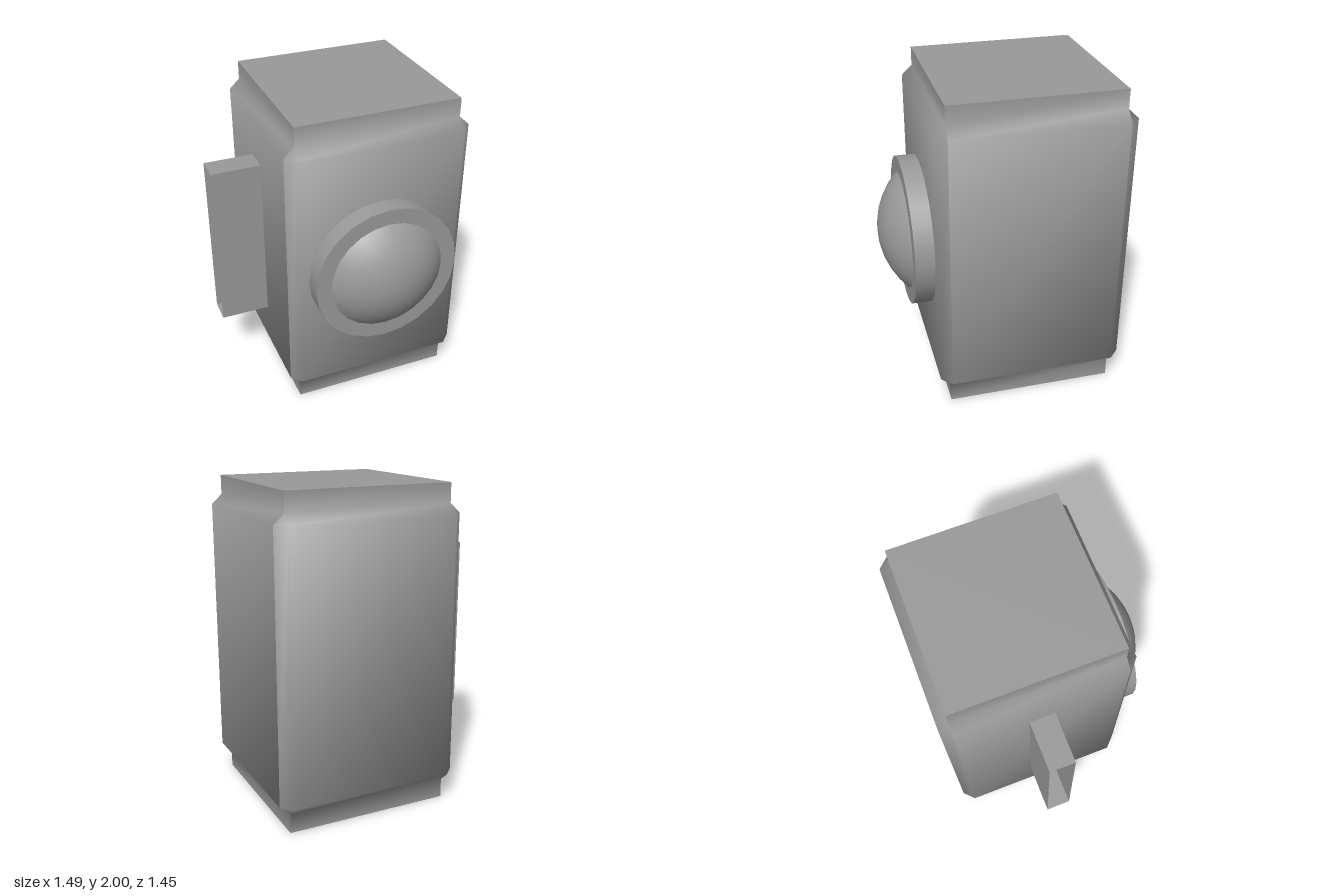
import * as THREE from 'three';
import { toCreasedNormals } from 'three/addons/utils/BufferGeometryUtils.js';

const CX = 0.157, CZ = -0.138;   // axis of the body
const IN = 0.5225, OUT = 0.5875; // half widths of the end collars and the swollen middle
const ROWS = [[0, IN], [0.12, IN], [0.18, OUT], [1.82, OUT], [1.88, IN], [2, IN]];

const grey = new THREE.MeshStandardMaterial({ color: 0x9a9a9a });
const greyDouble = new THREE.MeshStandardMaterial({ color: 0x9a9a9a, side: THREE.DoubleSide });

function part(name, geometry, material = grey) {
  const mesh = new THREE.Mesh(geometry, material);
  mesh.name = name;
  return mesh;
}

// Smooth wall facing +z; columns(w) gives the [x, z] points of one row
function wall(columns, turn) {
  const pos = [], index = [];
  const n = columns(OUT).length;
  for (const [y, w] of ROWS) for (const [x, z] of columns(w)) pos.push(x, y, z);
  for (let r = 0; r < ROWS.length - 1; r++) {
    for (let c = 0; c < n - 1; c++) {
      const a = r * n + c, b = a + 1, d = a + n, e = d + 1;
      index.push(a, b, e, a, e, d);
    }
  }
  const g = new THREE.BufferGeometry();
  g.setAttribute('position', new THREE.Float32BufferAttribute(pos, 3));
  g.setIndex(index);
  // Equal weight per face lets the bevels shade far into the panels
  return toCreasedNormals(g, Math.PI / 2).rotateY(turn).translate(CX, 0, CZ);
}

// Front and back walls carry the corner chamfers; side walls are plain panels
const chamfered = (w) => [[-w, IN], [-IN, w], [IN, w], [w, IN]];
const plain = (w) => [[-IN, w], [IN, w]];

export function createModel() {
  const model = new THREE.Group();
  model.name = 'model';

  // Body
  const body = new THREE.Group();
  body.name = 'body';
  body.add(
    part('frontWall', wall(chamfered, 0)),
    part('backWall', wall(chamfered, Math.PI)),
    part('leftWall', wall(plain, Math.PI / 2)),
    part('rightWall', wall(plain, -Math.PI / 2)),
  );
  for (const [name, y, turn] of [['topCap', 2, -1], ['bottomCap', 0, 1]]) {
    const cap = new THREE.PlaneGeometry(2 * IN, 2 * IN);
    cap.rotateX(turn * Math.PI / 2).translate(CX, y, CZ);
    body.add(part(name, cap));
  }
  model.add(body);

  // Round bezel on the front
  const bezel = part('lensBezel', new THREE.CylinderGeometry(0.47, 0.47, 0.12, 24).rotateX(Math.PI / 2));
  bezel.position.set(CX, 0.986, 0.508);
  model.add(bezel);

  // Shallow dome: a spherical cap
  const rim = 0.37, rise = 0.157;
  const radius = (rim * rim + rise * rise) / (2 * rise);
  const cap = new THREE.SphereGeometry(radius, 24, 5, 0, Math.PI * 2, 0, Math.asin(rim / radius));
  const dome = part('lensDome', cap.rotateX(Math.PI / 2));
  dome.position.set(CX, 0.986, 0.568 + rise - radius);
  model.add(dome);

  // Rectangular sleeve on the side: a box without its two x ends
  const sleeve = new THREE.BoxGeometry(0.318, 1.105, 0.16);
  sleeve.setIndex(Array.from(sleeve.index.array).slice(12));
  sleeve.clearGroups();
  const grip = part('sideSleeve', sleeve, greyDouble);
  grip.position.set(-0.588, 1.002, -0.14);
  model.add(grip);

  return model;
}
